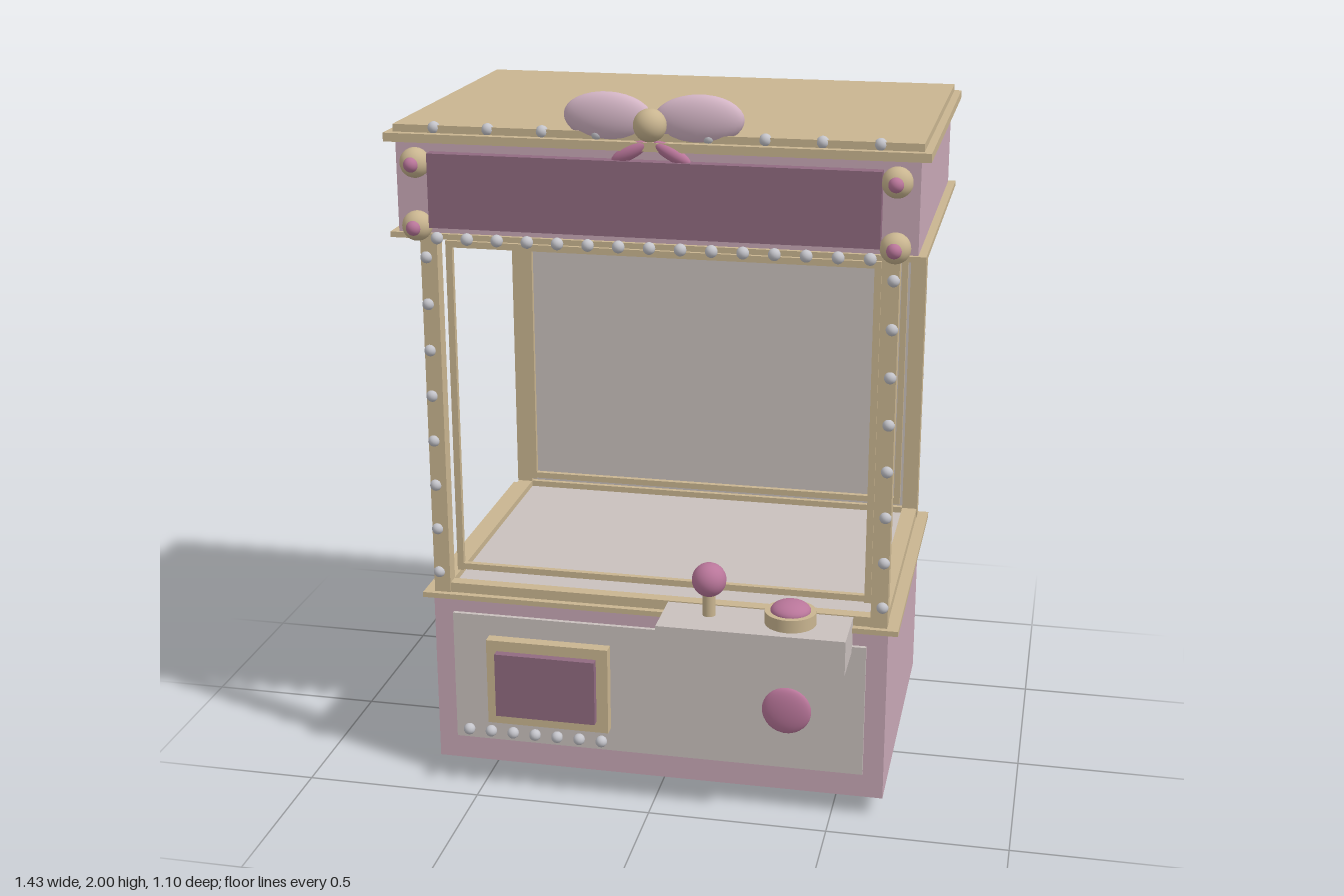
import * as THREE from 'three';

const mat = (name, color) => {
  const m = new THREE.MeshStandardMaterial({ color });
  m.name = name;
  return m;
};

export function createModel() {
  const root = new THREE.Group();
  root.name = 'clawMachine';

  const gold = mat('gold trim', 0xc9b590);
  const pink = mat('dusty pink', 0xc8a8b6);
  const plum = mat('plum', 0x906a80);
  const rose = mat('rose', 0xb9769a);
  const blush = mat('pale blush', 0xd2b4c4);
  const grey = mat('warm grey', 0xc9c0bd);
  const pearl = mat('pearl', 0xc4c4ca);

  const add = (name, geo, material, x = 0, y = 0, z = 0, parent = root) => {
    const mesh = new THREE.Mesh(geo, material);
    mesh.name = name;
    mesh.position.set(x, y, z);
    parent.add(mesh);
    return mesh;
  };
  // Box given by its minimum and maximum on each axis
  const box = (name, material, x0, x1, y0, y1, z0, z1, parent = root) =>
    add(name, new THREE.BoxGeometry(x1 - x0, y1 - y0, z1 - z0), material,
      (x0 + x1) / 2, (y0 + y1) / 2, (z0 + z1) / 2, parent);
  const ellipsoid = (name, material, x, y, z, rx, ry, rz, parent = root) => {
    const mesh = add(name, new THREE.SphereGeometry(1, 24, 16), material, x, y, z, parent);
    mesh.scale.set(rx, ry, rz);
    return mesh;
  };
  const group = (name) => {
    const g = new THREE.Group();
    g.name = name;
    root.add(g);
    return g;
  };
  // Evenly spaced pearls from one point to another
  const pearlGeo = new THREE.SphereGeometry(0.0165, 14, 10);
  const pearls = (name, n, from, to) => {
    const g = group(name);
    const a = new THREE.Vector3(...from), b = new THREE.Vector3(...to);
    for (let i = 0; i < n; i++) {
      const p = a.clone().lerp(b, i / (n - 1));
      add('pearl', pearlGeo, pearl, p.x, p.y, p.z, g);
    }
  };

  // Feet and lower cabinet
  for (const s of [-1, 1]) box('foot', gold, s * 0.475 - 0.085, s * 0.475 + 0.085, 0, 0.056, -0.345, 0.235);
  box('cabinet', pink, -0.642, 0.642, 0.056, 0.557, -0.497, 0.388);
  box('cabinetTrim', gold, -0.67, 0.67, 0.557, 0.572, -0.51, 0.403);
  box('frontPanel', grey, -0.585, 0.585, 0.13, 0.515, 0.38, 0.4);

  // Play floor with surrounding rails
  box('playFloor', grey, -0.6, 0.6, 0.572, 0.582, -0.47, 0.36);
  for (const s of [-1, 1]) box('sideRail', gold, s * 0.615 - 0.022, s * 0.615 + 0.022, 0.572, 0.6, -0.46, 0.35);
  box('frontRail', gold, -0.6, 0.6, 0.572, 0.6, 0.35, 0.385);
  box('backRail', gold, -0.6, 0.6, 0.572, 0.6, -0.495, -0.46);
  box('backPanel', grey, -0.595, 0.595, 0.6, 1.605, -0.485, -0.475);

  // Corner posts with pearl strings
  for (const s of [-1, 1]) {
    for (const [z, pz] of [[0.367, 0.386], [-0.477, -0.498]]) {
      box('cornerPost', gold, s * 0.616 - 0.023, s * 0.616 + 0.023, 0.572, 1.605, z - 0.021, z + 0.021);
      pearls('postPearls', 8, [s * 0.624, 0.632, pz], [s * 0.624, 1.54, pz]);
    }
  }

  // Slim inner frames of the front and back openings
  for (const z of [0.328, -0.437]) {
    const frame = group('innerFrame');
    for (const s of [-1, 1]) {
      box('frameUpright', gold, s * 0.578 - 0.009, s * 0.578 + 0.009, 0.62, 1.575, z - 0.008, z + 0.008, frame);
    }
    for (const y of [0.632, 1.566]) box('frameBar', gold, -0.578, 0.578, y - 0.009, y + 0.009, z - 0.008, z + 0.008, frame);
  }

  // Header and stepped roof
  box('headerTrim', gold, -0.708, 0.708, 1.6, 1.615, -0.535, 0.425);
  box('header', pink, -0.687, 0.687, 1.615, 1.857, -0.523, 0.413);
  box('roofTrim', gold, -0.713, 0.713, 1.857, 1.88, -0.55, 0.435);
  box('roof', gold, -0.693, 0.693, 1.88, 1.9, -0.534, 0.413);
  box('signBoard', plum, -0.593, 0.593, 1.635, 1.832, 0.405, 0.446);
  pearls('signPearls', 15, [-0.57, 1.61, 0.452], [0.57, 1.61, 0.452]);
  pearls('roofPearls', 9, [-0.583, 1.893, 0.405], [0.583, 1.893, 0.405]);

  // Studs on the header corners
  for (const x of [-0.63, 0.63]) {
    for (const y of [1.636, 1.804]) {
      ellipsoid('stud', gold, x, y, 0.43, 0.04, 0.04, 0.04);
      ellipsoid('studCentre', rose, x, y, 0.462, 0.02, 0.02, 0.02);
    }
  }

  // Bow on the roof edge
  const bow = group('bow');
  for (const s of [-1, 1]) {
    ellipsoid('bowLoop', blush, s * 0.118, 1.935, 0.392, 0.118, 0.065, 0.037, bow).rotation.z = s * 0.04;
    ellipsoid('bowRearLoop', rose, s * 0.07, 1.93, 0.347, 0.075, 0.03, 0.024, bow);
    ellipsoid('bowTail', rose, s * 0.055, 1.853, 0.425, 0.055, 0.019, 0.018, bow).rotation.z = -s * 0.5;
  }
  ellipsoid('bowKnot', gold, 0, 1.925, 0.435, 0.043, 0.043, 0.043, bow);

  // Control shelf with joystick and button
  box('controlShelf', grey, 0.033, 0.546, 0.5, 0.597, 0.385, 0.55);
  add('joystickStem', new THREE.CylinderGeometry(0.018, 0.018, 0.08, 20), gold, 0.16, 0.635, 0.447);
  ellipsoid('joystickBall', rose, 0.16, 0.7, 0.447, 0.047, 0.047, 0.047);
  add('buttonRing', new THREE.CylinderGeometry(0.07, 0.07, 0.036, 32), gold, 0.385, 0.615, 0.455);
  ellipsoid('button', rose, 0.385, 0.633, 0.455, 0.055, 0.027, 0.055);

  // Prize hatch, its pearls, and the round front button
  box('hatchFrame', gold, -0.48, -0.13, 0.2, 0.455, 0.395, 0.434);
  box('hatchDoor', plum, -0.45, -0.163, 0.234, 0.424, 0.43, 0.457);
  pearls('hatchPearls', 7, [-0.533, 0.18, 0.447], [-0.147, 0.18, 0.447]);
  ellipsoid('coinButton', rose, 0.37, 0.306, 0.4, 0.069, 0.069, 0.02);

  return root;
}
